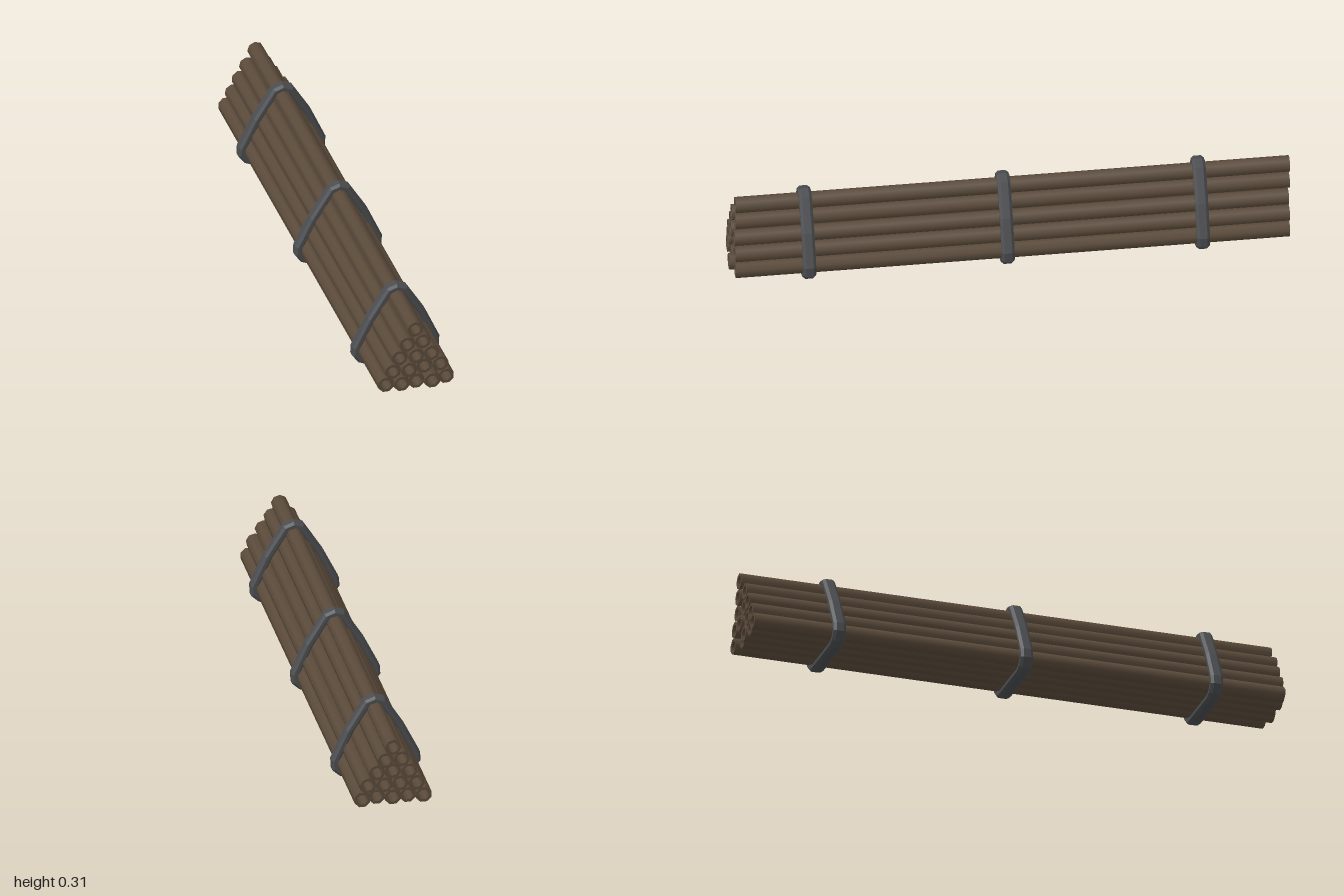
import * as THREE from 'three';
import { mergeGeometries } from 'three/addons/utils/BufferGeometryUtils.js';

const LENGTH = 1.968, OUTER = 0.03, INNER = 0.0195;

// Hollow eight-sided pipe along z: outer wall, rim, inner wall, rim
function pipeGeometry(phase) {
  const h = LENGTH / 2;
  const p = [[OUTER, -h], [OUTER, h], [INNER, h], [INNER, -h]].map(([x, y]) => new THREE.Vector2(x, y));
  const walls = p.map((a, i) => new THREE.LatheGeometry([a, p[(i + 1) % 4]], 8));
  return mergeGeometries(walls).rotateY(phase).rotateX(Math.PI / 2);
}

// Closed strap: a chamfered section swept inward from a clockwise outline
function strapGeometry() {
  const outline = [
    [0.003, 0.312], [0.04, 0.298], [0.108, 0.188], [0.159, 0.074], [0.157, 0.036],
    [0.131, 0.012], [0.102, 0], [-0.108, 0], [-0.138, 0.013], [-0.161, 0.044],
    [-0.159, 0.077], [-0.104, 0.188], [-0.033, 0.3],
  ].map(([x, y]) => new THREE.Vector2(x, y));
  const section = [ // depth below the outline, z
    [0, 0.013], [0, -0.013], [0.008, -0.023], [0.02, -0.023],
    [0.028, -0.013], [0.028, 0.013], [0.02, 0.023], [0.008, 0.023],
  ];
  const n = outline.length, m = section.length;
  const normal = (a, b) => new THREE.Vector2(a.y - b.y, b.x - a.x).normalize();
  const positions = [], index = [];
  outline.forEach((p, i) => {
    const n1 = normal(outline[(i + n - 1) % n], p), n2 = normal(p, outline[(i + 1) % n]);
    const miter = n1.clone().add(n2).divideScalar(1 + n1.dot(n2));
    section.forEach(([depth, z], k) => {
      positions.push(p.x - miter.x * depth, p.y - miter.y * depth, z);
      const j = (i + 1) % n, l = (k + 1) % m;
      const a = i * m + k, b = j * m + k, c = j * m + l, d = i * m + l;
      index.push(a, b, c, a, c, d);
    });
  });
  const g = new THREE.BufferGeometry();
  g.setAttribute('position', new THREE.Float32BufferAttribute(positions, 3));
  g.setIndex(index);
  const flat = g.toNonIndexed();
  flat.computeVertexNormals();
  return flat;
}

export function createModel() {
  const model = new THREE.Group();
  model.name = 'pipeBundle';
  const pipeBrown = new THREE.MeshStandardMaterial({ color: 0x5a4a3a });
  pipeBrown.name = 'pipeBrown';
  const strapGrey = new THREE.MeshStandardMaterial({ color: 0x4a4c4f, flatShading: true });
  strapGrey.name = 'strapGrey';

  // Stacked rows of pipes: x, y, z shift, turn
  const rows = [
    [[-0.11, 0.059, -0.004, 0.39], [-0.055, 0.059, 0.006, 0.39], [0, 0.059, 0, 0.39],
      [0.055, 0.059, 0.014, 0.39], [0.11, 0.059, -0.002, 0.39]],
    [[-0.085, 0.109, -0.003, 0.2], [-0.027, 0.109, 0.003, 0.1], [0.031, 0.112, -0.006, 0.25], [0.09, 0.112, -0.004, 0.15]],
    [[-0.059, 0.159, -0.006, 0.3], [0, 0.161, 0, 0.1], [0.058, 0.161, -0.005, 0.05]],
    [[-0.031, 0.209, -0.007, 0.15], [0.028, 0.21, -0.012, 0.2]],
    [[0.002, 0.261, -0.016, 0.1]],
  ];
  rows.forEach((row, r) => row.forEach(([x, y, z, turn], i) => {
    const pipe = new THREE.Mesh(pipeGeometry(turn), pipeBrown);
    pipe.name = `pipeRow${r + 1}No${i + 1}`;
    pipe.position.set(x, y, z);
    model.add(pipe);
  }));

  // Three straps around the bundle
  const strapShape = strapGeometry();
  [0.722, 0.017, -0.677].forEach((z, i) => {
    const strap = new THREE.Mesh(strapShape, strapGrey);
    strap.name = `strap${i + 1}`;
    strap.position.z = z;
    model.add(strap);
  });
  return model;
}
